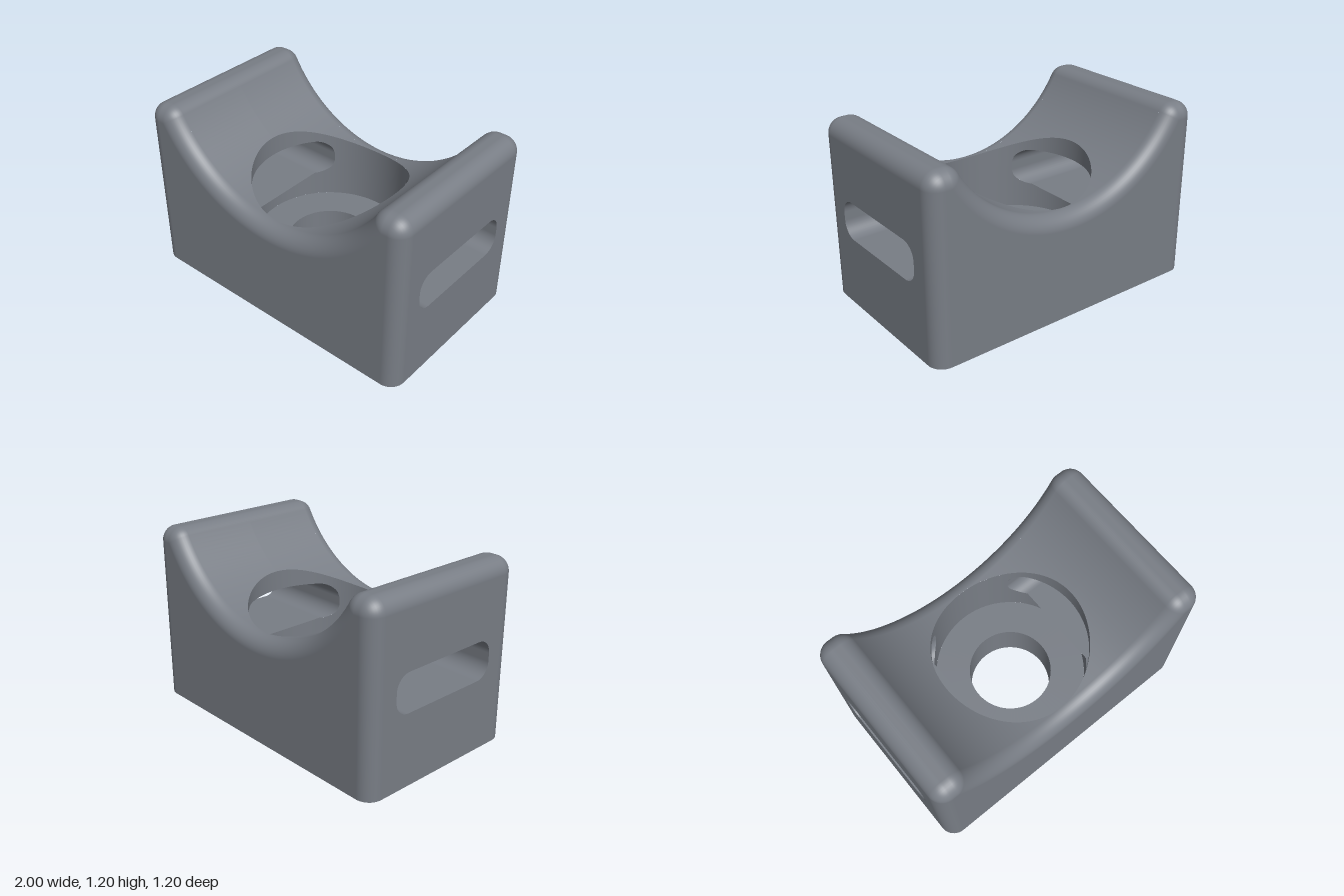
import * as THREE from 'three';

const F = 0.1;                                   // edge fillet radius
const AY = 1.61, AR = 0.9;                       // saddle arc centre height and radius
const CX = Math.sqrt((AR + F) ** 2 - (AY - 1.1) ** 2); // inner fillet centre x
const BORE = 0.5, FLOOR = 0.3, HOLE = 0.275;
const SLOT = { z: 0.4, lo: 0.475, hi: 0.73, r: 0.1 };

const range = (a, b, n) => Array.from({ length: n + 1 }, (_, i) => a + (b - a) * i / n);
const saddleY = x => AY - Math.sqrt(AR * AR - x * x);
const boreX = z => Math.sqrt(Math.max(0, BORE * BORE - z * z));

// Surface from rows of [x, y, z, nx, ny, nz]; triangles are wound to agree with the normals
function grid(rows) {
  const w = rows[0].length, pts = rows.flat(), index = [];
  const V = i => new THREE.Vector3(pts[i][0], pts[i][1], pts[i][2]);
  const tri = (a, b, c) => {
    const n = V(b).sub(V(a)).cross(V(c).sub(V(a)));
    if (n.length() < 1e-9) return;
    const s = [a, b, c].reduce((t, i) => t + n.x * pts[i][3] + n.y * pts[i][4] + n.z * pts[i][5], 0);
    index.push(...(s > 0 ? [a, b, c] : [a, c, b]));
  };
  for (let j = 0; j < rows.length - 1; j++) {
    for (let i = 0; i < w - 1; i++) {
      const a = j * w + i;
      tri(a, a + 1, a + w + 1);
      tri(a, a + w + 1, a + w);
    }
  }
  const g = new THREE.BufferGeometry();
  g.setAttribute('position', new THREE.Float32BufferAttribute(pts.flatMap(p => p.slice(0, 3)), 3));
  g.setAttribute('normal', new THREE.Float32BufferAttribute(pts.flatMap(p => p.slice(3)), 3));
  g.setIndex(index);
  return g;
}

// Points on an arc of the front outline, with outward normals
const arc = (cx, cy, r, a0, a1, n) => range(a0, a1, n).map(a => ({
  x: cx + r * Math.cos(a), y: cy + r * Math.sin(a), nx: Math.cos(a), ny: Math.sin(a),
}));
const flipX = p => ({ x: -p.x, y: p.y, nx: -p.nx, ny: p.ny });

// Rounded slot outline in (z, y) with inward normals
function slotPoints() {
  const { z, lo, hi, r } = SLOT, out = [];
  [[z - r, hi - r], [r - z, hi - r], [r - z, lo + r], [z - r, lo + r]].forEach(([cz, cy], k) => {
    for (const a of range(k * Math.PI / 2, (k + 1) * Math.PI / 2, 10)) {
      out.push({ z: cz + r * Math.cos(a), y: cy + r * Math.sin(a), nz: -Math.cos(a), ny: -Math.sin(a) });
    }
  });
  out.push(out[0]);
  return out;
}

export function createModel() {
  const model = new THREE.Group();
  const grey = new THREE.MeshStandardMaterial({ color: 0x787d85 });
  grey.name = 'grey';
  const add = (name, geometry) => {
    const m = new THREE.Mesh(geometry, grey);
    m.name = name;
    model.add(m);
    return m;
  };

  // Front outline: side, rounded shoulder, saddle, mirrored shoulder and side
  const tangent = Math.PI - Math.atan2(AY - 1.1, CX);
  const shoulder = [
    ...arc(0.9, 1.1, F, 0, Math.PI / 2, 12),
    ...arc(CX, 1.1, F, Math.PI / 2, tangent, 10),
  ];
  const half = Math.atan2(CX, AY - 1.1);
  const saddleArc = range(half, -half, 64).map(t => ({
    x: AR * Math.sin(t), y: AY - AR * Math.cos(t), nx: -Math.sin(t), ny: Math.cos(t),
  }));
  const outline = [
    { x: 1, y: 0, nx: 1, ny: 0 }, ...shoulder, ...saddleArc,
    ...shoulder.map(flipX).reverse(), { x: -1, y: 0, nx: -1, ny: 0 },
  ];

  // Front and back faces, each with the rounded border around them
  const inset = [];
  for (const p of outline) {
    const v = new THREE.Vector2(p.x - F * p.nx, p.y - F * p.ny);
    if (!inset.length || v.distanceTo(inset[inset.length - 1]) > 1e-4) inset.push(v);
  }
  for (const s of [1, -1]) {
    const name = s > 0 ? 'front' : 'back';
    const face = add(name + 'Face', new THREE.ShapeGeometry(new THREE.Shape(inset)));
    face.position.z = 0.6 * s;
    if (s < 0) face.rotation.y = Math.PI;
    add(name + 'RoundedEdge', grid(range(0, Math.PI / 2, 10).map(f => outline.map(p => {
      const c = Math.cos(f), d = F * (1 - c);
      return [p.x - d * p.nx, p.y - d * p.ny, s * (0.5 + F * Math.sin(f)), p.nx * c, p.ny * c, s * Math.sin(f)];
    }))));
  }

  const slot = slotPoints();
  for (const s of [1, -1]) {
    const name = s > 0 ? 'left' : 'right';
    // Rounded top rail
    add(name + 'TopRail', grid([-0.5, 0.5].map(z => shoulder.map(p => [s * p.x, p.y, z, s * p.nx, p.ny, 0]))));

    // Side wall pierced by the slot
    const wall = new THREE.Shape([[-0.5, 0], [0.5, 0], [0.5, 1.1], [-0.5, 1.1]].map(p => new THREE.Vector2(...p)));
    wall.holes.push(new THREE.Path(slot.slice(0, -1).map(p => new THREE.Vector2(p.z, p.y))));
    const side = add(name + 'Wall', new THREE.ShapeGeometry(wall));
    side.rotation.y = s * Math.PI / 2;
    side.position.x = s;

    // Slot tunnel running in to the bore
    add(name + 'SlotTunnel', grid([0, 1].map(k => slot.map(p => [s * (k ? boreX(p.z) : 1), p.y, p.z, 0, p.ny, p.nz]))));

    // Saddle surface around the bore
    const xs = [...range(0, Math.PI / 2, 40).map(t => BORE * Math.sin(t)), ...range(BORE, AR * CX / (AR + F), 16)];
    for (const zs of [1, -1]) {
      add(name + 'Saddle', grid([0, 1].map(k => xs.map(x => [
        s * x, saddleY(x), zs * (k ? 0.5 : boreX(x)), -s * x / AR, (AY - saddleY(x)) / AR, 0,
      ]))));
    }

    // Bore wall, below and above the slot opening
    const mid = (SLOT.lo + SLOT.hi) / 2, cols = [];
    const edge = Math.asin(SLOT.z / BORE);
    const opening = z => {
      const over = Math.max(0, Math.abs(z) - (SLOT.z - SLOT.r));
      const drop = SLOT.r - Math.sqrt(Math.max(0, SLOT.r ** 2 - over ** 2));
      return [SLOT.lo + drop, SLOT.hi - drop];
    };
    for (const t of range(-Math.PI / 2, -edge, 10)) cols.push([t, mid, mid]);
    for (const t of range(-edge, edge, 64)) cols.push([t, ...opening(BORE * Math.sin(t))]);
    for (const t of range(edge, Math.PI / 2, 10)) cols.push([t, mid, mid]);
    const col = (t, y) => [s * BORE * Math.cos(t), y, BORE * Math.sin(t), -s * Math.cos(t), 0, -Math.sin(t)];
    add(name + 'BoreWallLower', grid([cols.map(c => col(c[0], FLOOR)), cols.map(c => col(c[0], c[1]))]));
    add(name + 'BoreWallUpper', grid([
      cols.map(c => col(c[0], c[2])),
      cols.map(c => col(c[0], saddleY(BORE * Math.cos(c[0])))),
    ]));
  }

  // Bore floor and through hole
  const floor = add('boreFloor', new THREE.RingGeometry(HOLE, BORE, 96));
  floor.rotation.x = -Math.PI / 2;
  floor.position.y = FLOOR;
  add('throughHole', grid([0, FLOOR].map(y => range(0, 2 * Math.PI, 96).map(t => [
    HOLE * Math.cos(t), y, HOLE * Math.sin(t), -Math.cos(t), 0, -Math.sin(t),
  ]))));

  // Underside with rounded corners and the hole
  const base = new THREE.Shape();
  [[0.9, 0.5], [-0.9, 0.5], [-0.9, -0.5], [0.9, -0.5]].forEach(([x, z], k) =>
    base.absarc(x, z, F, k * Math.PI / 2, (k + 1) * Math.PI / 2, false));
  const hole = new THREE.Path();
  hole.absarc(0, 0, HOLE, 0, Math.PI * 2, true);
  base.holes.push(hole);
  add('underside', new THREE.ShapeGeometry(base, 48)).rotation.x = Math.PI / 2;

  return model;
}
